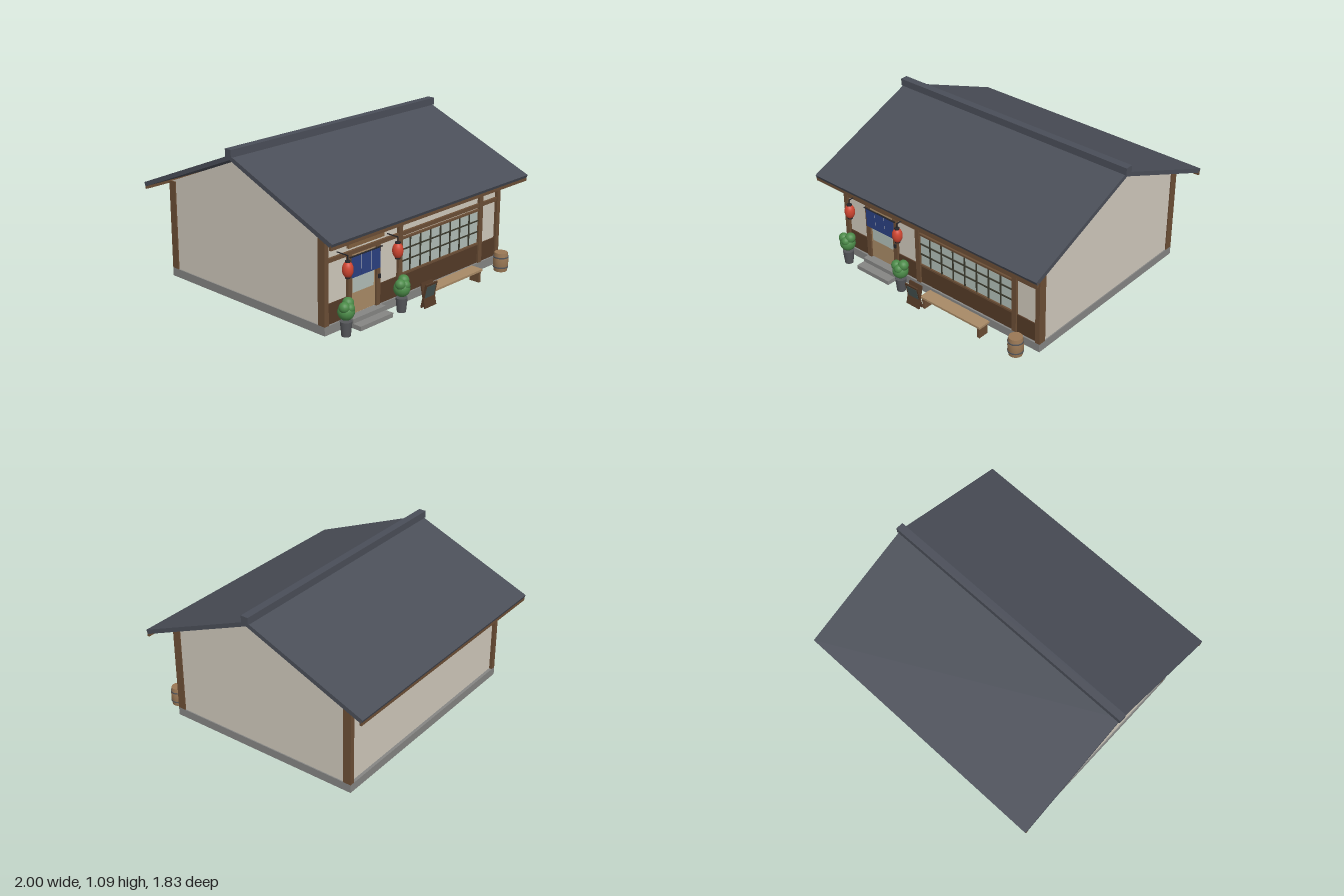
import * as THREE from 'three';

const mat = (color, double) => new THREE.MeshStandardMaterial({ color, side: double ? THREE.DoubleSide : THREE.FrontSide });
const M = {
  plaster: mat(0xcfc8bb), wood: mat(0x6b4e35), darkWood: mat(0x543a27), roof: mat(0x4a4e58), stone: mat(0x858583),
  tan: mat(0xa88a66), glass: mat(0xb0bdb6), muntin: mat(0x3b3a2e), cloth: mat(0x2b4080), pale: mat(0xd8d8d8),
  black: mat(0x26262a), red: mat(0xcf4530), leaf: mat(0x4b8a48), pot: mat(0x55565a), barrel: mat(0x9a7855),
  board: mat(0x475553), signWood: mat(0x80603f),
};

function add(parent, name, geo, material, x = 0, y = 0, z = 0) {
  const m = new THREE.Mesh(geo, material);
  m.name = name;
  m.position.set(x, y, z);
  parent.add(m);
  return m;
}

// box given by its min and max on each axis
function box(parent, name, material, x0, x1, y0, y1, z0, z1) {
  return add(parent, name, new THREE.BoxGeometry(x1 - x0, y1 - y0, z1 - z0), material, (x0 + x1) / 2, (y0 + y1) / 2, (z0 + z1) / 2);
}

// outline in (z, y), extruded along x and centred
function profileX(points, width) {
  const shape = new THREE.Shape(points.map(p => new THREE.Vector2(...p)));
  const g = new THREE.ExtrudeGeometry(shape, { depth: width, bevelEnabled: false });
  return g.translate(0, 0, -width / 2).rotateY(-Math.PI / 2);
}

function sub(parent, name, x = 0, y = 0, z = 0) {
  const g = new THREE.Group();
  g.name = name;
  g.position.set(x, y, z);
  parent.add(g);
  return g;
}

function buildHouse(root) {
  const h = sub(root, 'house', 0, 0, -0.01);
  box(h, 'foundation', M.stone, -0.893, 0.893, 0, 0.06, -0.747, 0.747);
  add(h, 'walls', profileX([[-0.725, 0.06], [0.725, 0.06], [0.725, 0.7], [0, 1.0], [-0.725, 0.7]], 1.77), M.plaster);

  // roof slabs, ridge cap and eave boards
  add(h, 'roof', profileX([[0, 1.045], [-0.905, 0.674], [-0.893, 0.645], [0, 1.013], [0.893, 0.645], [0.905, 0.674]], 1.976), M.roof);
  box(h, 'ridgeCap', M.roof, -1, 1, 1.035, 1.087, -0.028, 0.028);
  for (const s of [-1, 1]) {
    add(h, 'eaveBoard', new THREE.BoxGeometry(1.976, 0.032, 0.016), M.wood, 0, 0.646, s * 0.888);
    for (const t of [-1, 1])
      add(h, 'cornerPost', new THREE.BoxGeometry(0.036, 0.64, 0.06), M.wood, t * 0.875, 0.38, s * 0.717);
  }

  // front timber framing
  for (const x of [-0.18, 0.676]) box(h, 'frontPost', M.wood, x - 0.019, x + 0.019, 0.06, 0.7, 0.7, 0.746);
  box(h, 'frontBeam', M.wood, -0.86, 0.86, 0.475, 0.502, 0.7, 0.742);
  for (const [a, b] of [[-0.86, -0.68], [-0.377, -0.199], [-0.161, 0.657], [0.695, 0.86]])
    box(h, 'wainscot', M.darkWood, a, b, 0.06, 0.198, 0.7, 0.734);
}

function buildWindow(root) {
  const w = sub(root, 'window', 0, 0, -0.01);
  const x0 = -0.161, x1 = 0.657, y0 = 0.212, y1 = 0.452;
  box(w, 'windowGlass', M.glass, x0, x1, y0, y1, 0.715, 0.729);
  for (let i = 1; i < 8; i++) {
    const x = -0.176 + i * 0.1045;
    box(w, 'verticalBar', M.muntin, x - 0.004, x + 0.004, y0, y1, 0.725, 0.737);
  }
  for (const y of [0.294, 0.375]) box(w, 'crossBar', M.muntin, x0, x1, y - 0.004, y + 0.004, 0.725, 0.737);
  for (const y of [0.205, 0.455]) box(w, 'windowRail', M.wood, x0, x1, y - 0.007, y + 0.007, 0.71, 0.742);
}

function buildEntrance(root) {
  const e = sub(root, 'entrance', 0, 0, -0.01);
  for (const x of [-0.662, -0.396]) box(e, 'doorPost', M.wood, x - 0.018, x + 0.018, 0.06, 0.475, 0.7, 0.746);
  box(e, 'door', M.tan, -0.645, -0.413, 0.065, 0.475, 0.71, 0.732);
  box(e, 'doorGlass', M.glass, -0.627, -0.431, 0.21, 0.45, 0.72, 0.736);
  box(e, 'doorHandle', M.black, -0.402, -0.384, 0.25, 0.278, 0.74, 0.756);

  // split curtain on its rod
  for (let i = 0; i < 3; i++) {
    const x = -0.659 + i * 0.0895;
    box(e, 'curtainPanel', M.cloth, x, x + 0.0865, 0.325, 0.465, 0.754, 0.759);
    if (i) box(e, 'curtainSeam', M.pale, x - 0.003, x, 0.335, 0.465, 0.754, 0.758);
  }
  add(e, 'curtainRod', new THREE.CylinderGeometry(0.005, 0.005, 0.3, 10).rotateZ(Math.PI / 2), M.black, -0.526, 0.468, 0.757);

  box(e, 'signBoard', M.signWood, -0.693, -0.363, 0.532, 0.642, 0.742, 0.762);
  box(e, 'upperStep', M.stone, -0.68, -0.372, 0, 0.062, 0.73, 0.79);
  box(e, 'lowerStep', M.stone, -0.68, -0.372, 0, 0.031, 0.73, 0.855);
}

function buildLantern(root, x) {
  const l = sub(root, 'lantern', x, 0, 0.807);
  const outline = [];
  for (let i = 0; i <= 16; i++) {
    const a = -1.15 + 2.3 * i / 16;
    outline.push(new THREE.Vector2(0.037 * Math.cos(a) + (i % 2 ? 0 : -0.0008), 0.055 * Math.sin(a)));
  }
  add(l, 'lanternPaper', new THREE.LatheGeometry(outline, 20), M.red, 0, 0.43, 0);
  for (const s of [-1, 1])
    add(l, 'lanternCap', new THREE.CylinderGeometry(0.018, 0.018, 0.01, 16), M.black, 0, 0.43 + s * 0.053, 0);
  box(l, 'hangingCord', M.black, -0.003, 0.003, 0.485, 0.523, -0.003, 0.003);
  box(l, 'bracketArm', M.black, -0.003, 0.003, 0.518, 0.524, -0.1, 0.003);
}

function buildPlant(root, x) {
  const p = sub(root, 'pottedPlant', x, 0, 0.822);
  add(p, 'pot', new THREE.CylinderGeometry(0.04, 0.03, 0.1, 18), M.pot, 0, 0.05, 0);
  for (const [dx, y, dz, r] of [[0, 0.162, 0, 0.056], [0.024, 0.212, -0.006, 0.038], [-0.027, 0.2, 0.01, 0.036], [0.008, 0.19, 0.022, 0.034]])
    add(p, 'foliage', new THREE.SphereGeometry(r, 16, 12), M.leaf, dx, y, dz);
}

function buildBarrel(root) {
  const b = sub(root, 'barrel', 0.784, 0, 0.842);
  const pts = [[0, 0], [0.047, 0], [0.053, 0.045], [0.054, 0.07], [0.053, 0.095], [0.047, 0.137], [0, 0.137]];
  // sharp rims come from doubled points
  const sharp = pts.flatMap((p, i) => (i === 1 || i === 5 ? [p, p] : [p])).map(p => new THREE.Vector2(...p));
  add(b, 'barrelBody', new THREE.LatheGeometry(sharp, 20), M.barrel);
  for (const y of [0.032, 0.105])
    add(b, 'barrelHoop', new THREE.CylinderGeometry(0.0545, 0.0545, 0.009, 20), M.pot, 0, y, 0);
}

function buildBench(root) {
  const b = sub(root, 'bench', 0.248, 0, 0.838);
  box(b, 'benchSeat', M.tan, -0.268, 0.268, 0.08, 0.095, -0.048, 0.048);
  for (const s of [-1, 1]) add(b, 'benchLeg', new THREE.BoxGeometry(0.022, 0.08, 0.08), M.wood, s * 0.247, 0.04, 0);
}

function buildStandingBoard(root) {
  const g = sub(root, 'standingBoard', -0.072, 0, 0.89);
  // two crossed leaves
  for (const s of [-1, 1]) {
    const leaf = sub(g, 'boardLeaf', 0, 0.085, s * 0.003);
    leaf.rotation.x = s * 0.22;
    box(leaf, 'boardFrame', M.darkWood, -0.058, 0.058, -0.086, 0.086, -0.005, 0.005);
    box(leaf, 'boardFace', M.board, -0.046, 0.046, -0.06, 0.07, s > 0 ? 0.004 : -0.007, s > 0 ? 0.007 : -0.004);
  }
}

export function createModel() {
  const root = new THREE.Group();
  root.name = 'shopHouse';
  buildHouse(root);
  buildWindow(root);
  buildEntrance(root);
  for (const x of [-0.76, -0.293]) buildLantern(root, x);
  for (const x of [-0.79, -0.265]) buildPlant(root, x);
  buildBarrel(root);
  buildBench(root);
  buildStandingBoard(root);
  return root;
}
